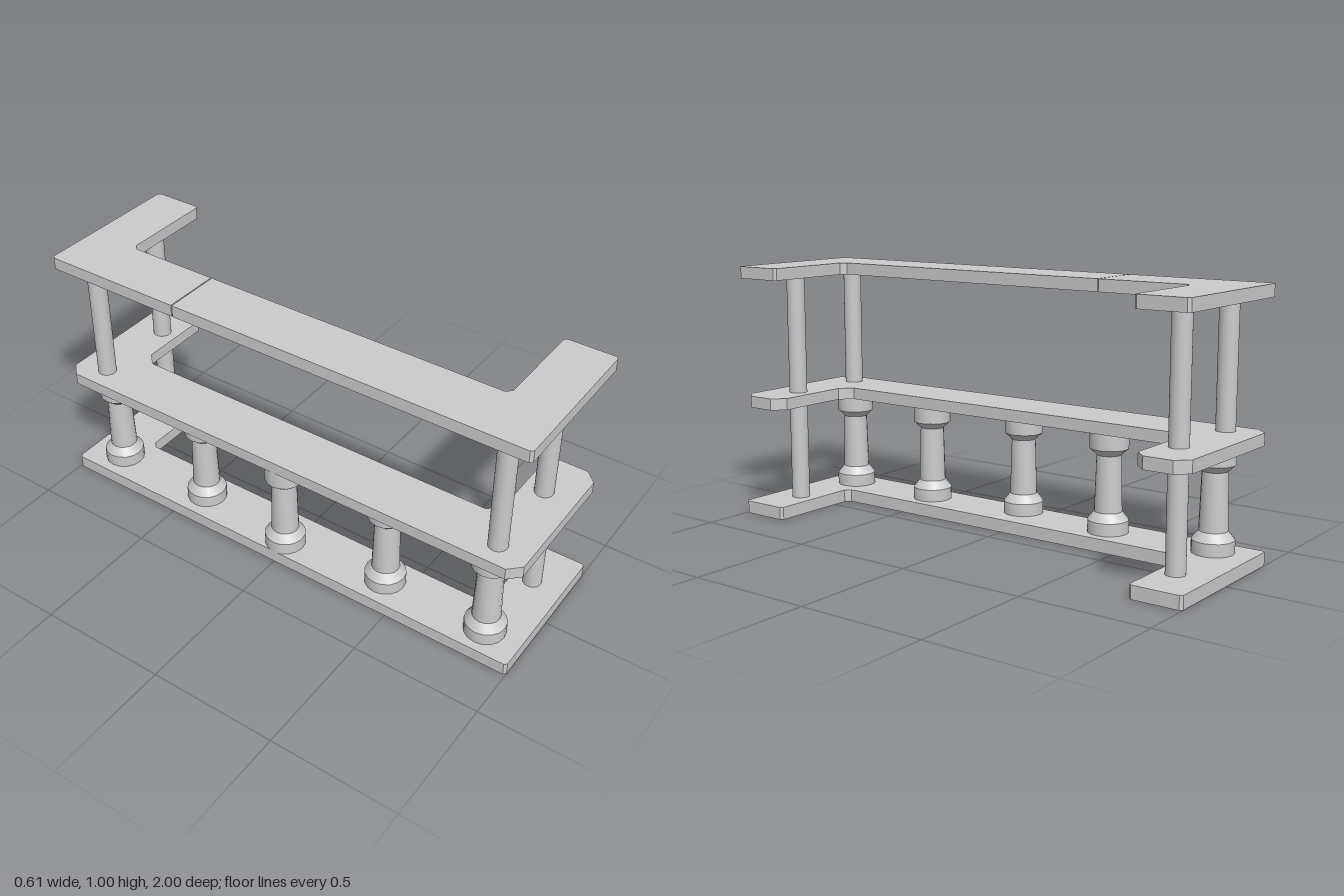
import * as THREE from 'three';
import { toCreasedNormals } from 'three/addons/utils/BufferGeometryUtils.js';

const grey = new THREE.MeshStandardMaterial({ color: 0xcccccc });

export function createModel() {
  const model = new THREE.Group();

  const add = (name, geometry, x = 0, y = 0, z = 0) => {
    const mesh = new THREE.Mesh(geometry, grey);
    mesh.name = name;
    mesh.position.set(x, y, z);
    model.add(mesh);
  };

  // One L-shaped half of a U slab: side is +1 (front) or -1 (back), the spine
  // starts at the seam, c chamfers the outer corners and n the inner corner.
  const halfSlab = (name, side, seam, y, height, c, n) => {
    const outline = [
      [-0.305, seam], [-0.305, 1 - c], [-0.305 + c, 1],
      [0.305 - c, 1], [0.305, 1 - c], [0.305, 0.8 + c], [0.305 - c, 0.8],
      [-0.08 + n, 0.8], [-0.08, 0.8 - n], [-0.08, seam],
    ];
    const shape = new THREE.Shape(outline.map(([x, z]) => new THREE.Vector2(x, -side * z)));
    const geometry = new THREE.ExtrudeGeometry(shape, { depth: height, bevelEnabled: false });
    geometry.rotateX(-Math.PI / 2);
    add(name, geometry, 0, y, 0);
  };

  // Three U-shaped shelves; the top one is split off-centre by a hairline seam
  for (const side of [1, -1]) {
    const end = side > 0 ? 'Front' : 'Back';
    halfSlab('baseSlab' + end, side, 0, 0, 0.05, 0.01, 0.02);
    halfSlab('middleShelf' + end, side, 0, 0.44, 0.046, 0.045, 0.045);
    halfSlab('counterTop' + end, side, -0.424 * side + 0.002, 0.953, 0.047, 0.01, 0.02);
  }

  // Round posts: full height at the arms, upper level only at the corners
  const post = (name, x, z, y0, y1) =>
    add(name, new THREE.CylinderGeometry(0.036, 0.036, y1 - y0, 20), x, (y0 + y1) / 2, z);
  for (const z of [0.877, -0.872]) {
    post('lowerArmPost', 0.118, z, 0.045, 0.445);
    post('upperArmPost', 0.118, z, 0.48, 0.958);
    post('upperCornerPost', -0.215, z, 0.48, 0.958);
  }

  // Turned balusters under the middle shelf
  const profile = [
    [0, 0.048], [0.078, 0.048], [0.078, 0.098], [0.053, 0.13],
    [0.047, 0.345], [0.074, 0.37], [0.074, 0.442], [0, 0.442],
  ].map(([r, y]) => new THREE.Vector2(r, y));
  const baluster = toCreasedNormals(new THREE.LatheGeometry(profile, 16), 0.5);
  const spots = [[-0.195, 0.853], [-0.19, 0.428], [-0.23, 0], [-0.19, -0.415], [-0.19, -0.85]];
  for (const [x, z] of spots) add('baluster', baluster, x, 0, z);

  return model;
}
